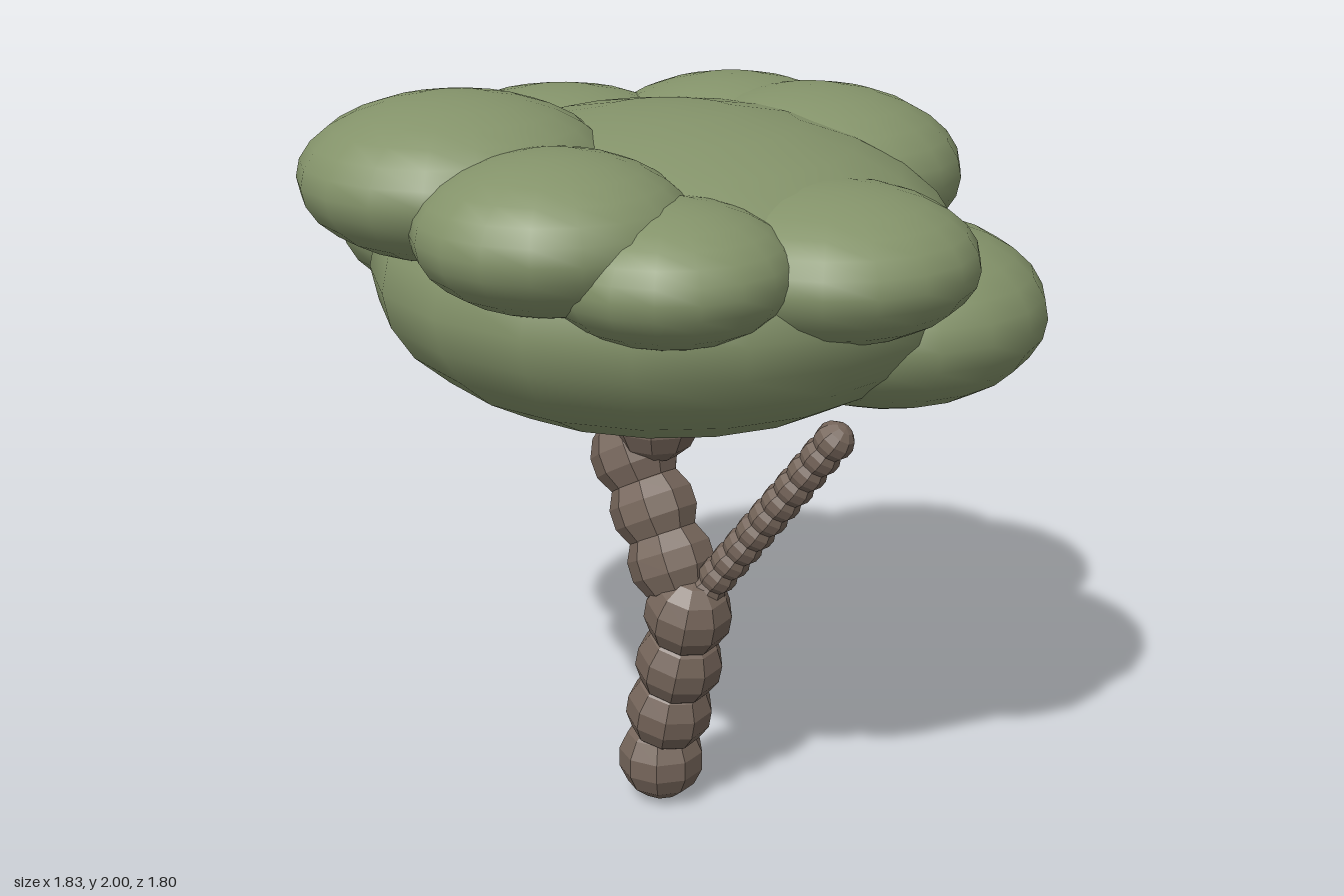
import * as THREE from 'three';

const leafGreen = new THREE.MeshStandardMaterial({ color: 0x84936a });
leafGreen.name = 'leafGreen';
const barkBrown = new THREE.MeshStandardMaterial({ color: 0x75655a, flatShading: true });
barkBrown.name = 'barkBrown';

const leafBall = new THREE.SphereGeometry(1, 18, 14);
const trunkBall = new THREE.SphereGeometry(1, 9, 7);
const twigBall = new THREE.SphereGeometry(1, 9, 7);
const UP = new THREE.Vector3(0, 1, 0);

// Flattened leaf clump
function addClump(parent, name, x, y, z, r, ry) {
  const m = new THREE.Mesh(leafBall, leafGreen);
  m.name = name;
  m.position.set(x, y, z);
  m.scale.set(r, ry, r);
  parent.add(m);
}

// Knobbly ball, turned to follow the limb
function addKnob(parent, name, geometry, position, direction, r) {
  const m = new THREE.Mesh(geometry, barkBrown);
  m.name = name;
  m.position.copy(position);
  m.quaternion.setFromUnitVectors(UP, direction.clone().normalize());
  m.scale.setScalar(r);
  parent.add(m);
}

// Thin limb: a straight row of small knobs
function makeBranch(name, from, to, count, r) {
  const g = new THREE.Group();
  g.name = name;
  const a = new THREE.Vector3(...from), b = new THREE.Vector3(...to);
  const dir = b.clone().sub(a);
  for (let i = 0; i < count; i++) {
    addKnob(g, 'branchKnob', twigBall, a.clone().lerp(b, i / (count - 1)), dir, r);
  }
  return g;
}

export function createModel() {
  const tree = new THREE.Group();
  tree.name = 'tree';

  // Trunk: leans to the left, then bends back to the right
  const trunk = new THREE.Group();
  trunk.name = 'trunk';
  const path = [
    [0.02, 0.122, 0.03], [0.055, 0.285, 0.04], [0.095, 0.44, 0.05], [0.135, 0.6, 0.065],
    [0.07, 0.73, 0.05], [0, 0.86, 0.035], [-0.075, 0.99, 0.02], [-0.005, 1.11, 0.02],
  ].map(p => new THREE.Vector3(...p));
  path.forEach((p, i) => {
    const dir = i === 0 || i === 7 ? UP : p.clone().sub(path[i - 1]);
    addKnob(trunk, 'trunkKnob', trunkBall, p, dir, 0.12);
  });
  tree.add(trunk);

  // Side branches
  tree.add(makeBranch('leftBranch', [0.15, 0.63, 0.06], [0.525, 1.145, -0.01], 12, 0.053));
  tree.add(makeBranch('rightBranch', [-0.1, 1.04, 0.02], [-0.45, 1.24, 0.0], 9, 0.05));

  // Canopy: a broad core ringed by clumps
  const canopy = new THREE.Group();
  canopy.name = 'canopy';
  addClump(canopy, 'canopyCore', 0.02, 1.53, 0, 0.76, 0.4);
  addClump(canopy, 'frontRightClump', -0.28, 1.8, 0.46, 0.39, 0.2);
  addClump(canopy, 'frontClump', 0.11, 1.74, 0.57, 0.335, 0.187);
  addClump(canopy, 'frontLeftClump', 0.37, 1.665, 0.475, 0.295, 0.167);
  addClump(canopy, 'leftClump', 0.55, 1.635, 0.075, 0.363, 0.187);
  addClump(canopy, 'lowBackLeftClump', 0.485, 1.42, -0.3, 0.418, 0.24);
  addClump(canopy, 'backLeftClump', 0.12, 1.695, -0.5, 0.41, 0.225);
  addClump(canopy, 'backRightClump', -0.14, 1.695, -0.51, 0.395, 0.225);
  addClump(canopy, 'rightClump', -0.48, 1.665, -0.19, 0.43, 0.23);
  addClump(canopy, 'lowRightClump', -0.53, 1.6, 0.08, 0.39, 0.23);
  tree.add(canopy);

  return tree;
}
